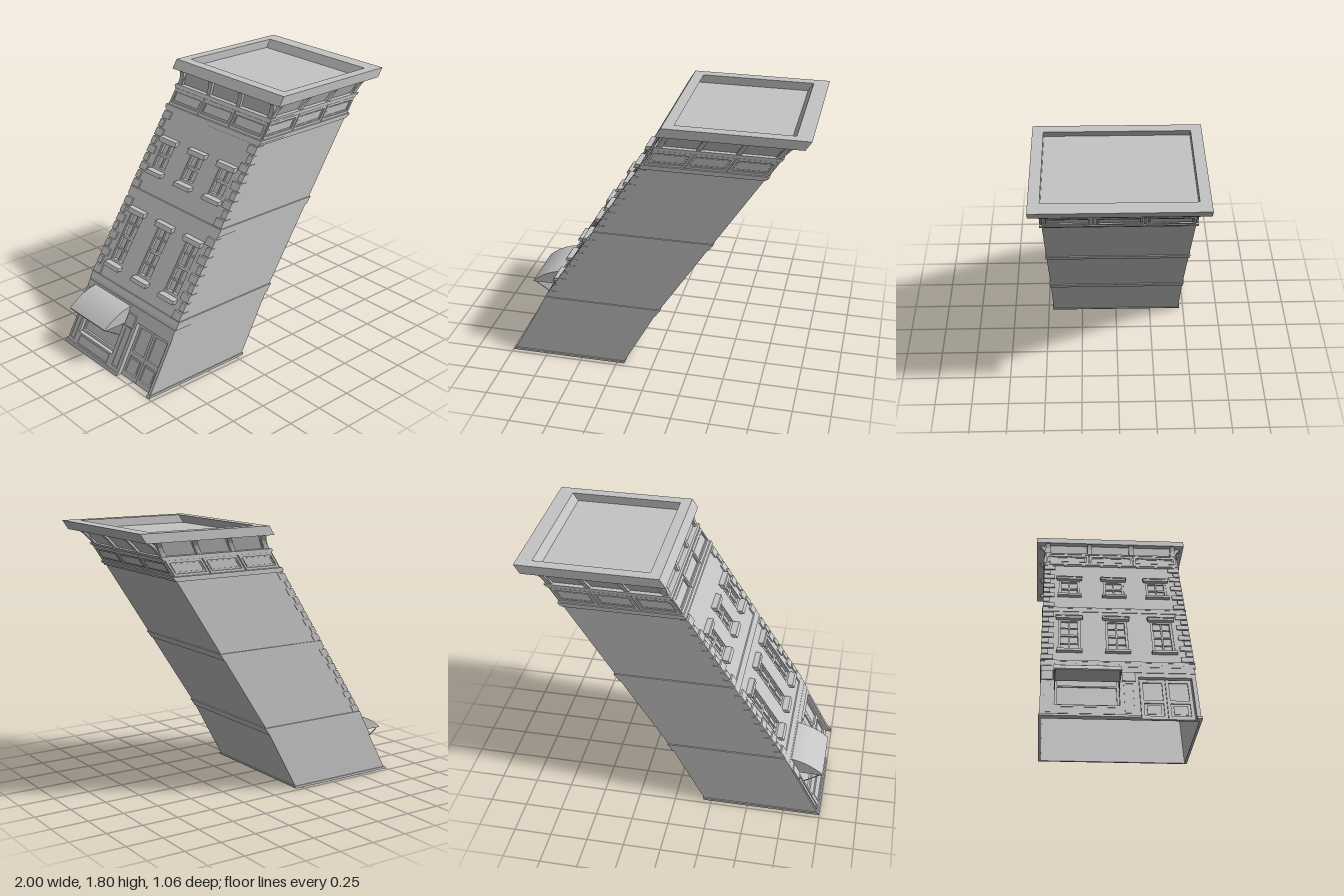
import * as THREE from 'three';
import { mergeGeometries } from 'three/addons/utils/BufferGeometryUtils.js';

// Upright body dimensions; everything is sheared along +x afterwards
const CX = -0.5975, HX = 0.3925, HZ = 0.465, FRONT = 3;
const lean = (y) => (y < 0.43 ? 0.547 * y : 0.235 + 0.65 * (y - 0.43));

export function createModel() {
  const model = new THREE.Group();
  const stone = new THREE.MeshStandardMaterial({ color: 0xc4c4c4, side: THREE.DoubleSide });
  stone.name = 'grey stone';

  // Merge a part's pieces, lean them, and give them flat faces
  const add = (name, pieces) => {
    const geo = mergeGeometries(pieces.map((p) => {
      const g = p.index ? p.toNonIndexed() : p;
      g.deleteAttribute('uv');
      return g;
    }));
    const pos = geo.attributes.position;
    for (let i = 0; i < pos.count; i++) pos.setX(i, pos.getX(i) + lean(pos.getY(i)));
    geo.computeVertexNormals();
    const mesh = new THREE.Mesh(geo, stone);
    mesh.name = name;
    model.add(mesh);
  };

  const span = (x0, x1, y0, y1, z0, z1) => new THREE.BoxGeometry(x1 - x0, y1 - y0, z1 - z0)
    .translate((x0 + x1) / 2, (y0 + y1) / 2, (z0 + z1) / 2);
  // Side k: 0 = +z, 1 = +x, 2 = -z, 3 = -x. d is the distance out from the wall
  const place = (geo, k) => geo.rotateY(k * Math.PI / 2).translate(CX, 0, 0);
  const reach = (k) => (k % 2 ? HX : HZ);
  const half = (k) => (k % 2 ? HZ : HX);
  const sideBox = (k, a0, a1, y0, y1, d0, d1) =>
    place(span(a0, a1, y0, y1, reach(k) + d0, reach(k) + d1), k);
  const ring = (y0, y1, out) => span(CX - HX - out, CX + HX + out, y0, y1, -HZ - out, HZ + out);

  const outline = (points, holes = []) => {
    const s = new THREE.Shape(points.map((p) => new THREE.Vector2(...p)));
    s.holes = holes.map((h) => new THREE.Path(h.map((p) => new THREE.Vector2(...p))));
    return s;
  };
  const rect = (a0, a1, y0, y1) => [[a0, y0], [a1, y0], [a1, y1], [a0, y1]];
  // Pierced plate on side k between depths d0 and d1
  const plate = (k, points, holes, d0, d1) => place(
    new THREE.ExtrudeGeometry(outline(points, holes), { depth: d1 - d0, bevelEnabled: false })
      .translate(0, 0, reach(k) + d0), k);
  const frame = (k, a0, a1, y0, y1, w, d0, d1) =>
    plate(k, rect(a0, a1, y0, y1), [rect(a0 + w, a1 - w, y0 + w, y1 - w)], d0, d1);

  // Upper body and hollow ground floor
  add('upperBody', [span(CX - HX + 0.025, CX + HX, 0.43, 1.64, -HZ, HZ)]);
  add('groundWalls', [
    sideBox(0, -HX, HX, 0, 0.43, -0.008, 0),
    sideBox(1, -HZ, HZ, 0, 0.43, -0.008, 0),
    sideBox(2, -HX, HX, 0, 0.43, -0.008, 0),
  ]);

  // Street wall with a doorway notch and shop window
  const doorway = [0.12, 0.44, 0.33], shop = [-0.38, 0, 0.09, 0.33];
  add('groundFacade', [
    plate(FRONT, [[-HZ, 0], [doorway[0], 0], [doorway[0], doorway[2]], [doorway[1], doorway[2]],
      [doorway[1], 0], [HZ, 0], [HZ, 0.43], [-HZ, 0.43]], [rect(...shop)], -0.045, 0),
    sideBox(FRONT, -HZ, HZ, 0.365, 0.41, 0, 0.006),
  ]);
  add('shopWindow', [
    sideBox(FRONT, shop[0], shop[1], shop[2], shop[3], -0.045, -0.038),
    frame(FRONT, ...shop, 0.015, -0.038, -0.025),
    sideBox(FRONT, shop[0], shop[1], 0.25, 0.26, -0.038, -0.028),
    frame(FRONT, shop[0] + 0.02, shop[1] - 0.02, 0.02, 0.08, 0.008, 0, 0.004),
  ]);
  const pierPieces = [];
  for (const [a0, a1] of [[-0.46, -0.395], [0.02, 0.1]]) {
    pierPieces.push(sideBox(FRONT, a0, a1, 0.29, 0.365, 0, 0.012));
    pierPieces.push(frame(FRONT, a0 + 0.008, a1 - 0.008, 0.03, 0.28, 0.01, 0, 0.005));
  }
  add('shopPiers', pierPieces);

  // Double door, two panels per leaf
  const door = [sideBox(FRONT, 0.12, 0.44, 0, 0.33, -0.043, -0.038)];
  for (const [a0, a1] of [[0.125, 0.279], [0.281, 0.435]]) {
    const w = 0.02;
    door.push(plate(FRONT, rect(a0, a1, 0.003, 0.325),
      [rect(a0 + w, a1 - w, 0.03, 0.13), rect(a0 + w, a1 - w, 0.155, 0.3)], -0.052, -0.028));
    door.push(sideBox(FRONT, a0 + 0.035, a1 - 0.035, 0.045, 0.115, -0.038, -0.032));
  }
  add('doubleDoor', door);

  // Facade of the two upper floors
  const columns = [-0.295, 0.005, 0.295];
  const floors = [{ y0: 0.43, y1: 0.98, low: 0.56, high: 0.87 },
    { y0: 0.98, y1: 1.64, low: 1.14, high: 1.31 }];
  const walls = [], sashes = [], sills = [], lintels = [];
  for (const f of floors) {
    walls.push(plate(FRONT, rect(-HZ, HZ, f.y0, f.y1),
      columns.map((c) => rect(c - 0.068, c + 0.068, f.low, f.high)), -0.025, 0));
    const mid = (f.low + f.high) / 2;
    for (const c of columns) {
      sashes.push(frame(FRONT, c - 0.068, c + 0.068, f.low, f.high, 0.014, -0.025, -0.006));
      sashes.push(sideBox(FRONT, c - 0.055, c + 0.055, mid - 0.008, mid + 0.008, -0.025, -0.01));
      sashes.push(sideBox(FRONT, c - 0.005, c + 0.005, f.low, f.high, -0.025, -0.013));
      if (f.y0 < 0.5) for (const t of [0.25, 0.75]) {
        const y = f.low + t * (f.high - f.low);
        sashes.push(sideBox(FRONT, c - 0.055, c + 0.055, y - 0.004, y + 0.004, -0.025, -0.015));
      }
      sills.push(sideBox(FRONT, c - 0.08, c + 0.08, f.low - 0.022, f.low, 0, 0.036));
      lintels.push(sideBox(FRONT, c - 0.085, c + 0.085, f.high, f.high + 0.03, 0, 0.03));
      lintels.push(sideBox(FRONT, c - 0.088, c + 0.088, f.high + 0.02, f.high + 0.03, 0, 0.036));
    }
  }
  add('upperFacade', walls);
  add('windowSashes', sashes);
  add('windowSills', sills);
  add('windowLintels', lintels);

  // Corner blocks, alternately long and short
  const quoins = [];
  for (const y0 of [0.468, 1.008]) for (let i = 0; i < 9; i++) {
    const w = i % 2 ? 0.04 : 0.072, y = y0 + i * 0.0535;
    for (const s of [-1, 1]) {
      const a = [s * (HZ + 0.004), s * (HZ - w)].sort((p, q) => p - q);
      quoins.push(sideBox(FRONT, a[0], a[1], y, y + 0.043, -w * 0.6, 0.012));
    }
  }
  add('cornerBlocks', quoins);

  // Plinth, leaving the doorway open
  add('plinth', [
    sideBox(0, -HX - 0.007, HX + 0.007, 0, 0.016, 0, 0.007),
    sideBox(1, -HZ - 0.007, HZ + 0.007, 0, 0.016, 0, 0.007),
    sideBox(2, -HX - 0.007, HX + 0.007, 0, 0.016, 0, 0.007),
    sideBox(FRONT, -HZ - 0.007, 0.12, 0, 0.016, 0, 0.008),
    sideBox(FRONT, 0.44, HZ + 0.007, 0, 0.016, 0, 0.008),
  ]);
  // String courses between floors
  add('stringCourses', [ring(0.43, 0.45, 0.006), ring(0.45, 0.462, 0.008),
    ring(0.955, 0.99, 0.006), ring(0.99, 1.002, 0.008),
    ...[0, 1, 2, 3].map((k) => sideBox(k, -half(k) - 0.006, half(k) + 0.006, 0.412, 0.432, -0.003, 0.006))]);
  add('friezeLedges', [ring(1.487, 1.5, 0.008), ring(1.5, 1.518, 0.014),
    ring(1.62, 1.63, 0.006), ring(1.63, 1.645, 0.012)]);

  // Three framed panels on each side of the frieze
  const panels = [], brackets = [];
  const curve = [[0, 1.642], [0.006, 1.67], [0.016, 1.7], [0.032, 1.725], [0.042, 1.738]];
  for (let k = 0; k < 4; k++) {
    const h = half(k), step = (2 * h) / 3;
    for (let i = 0; i < 3; i++) {
      const a = -h + i * step;
      panels.push(frame(k, a + 0.004, a + step - 0.004, 1.52, 1.62, 0.016, 0, 0.008));
      panels.push(frame(k, a + 0.026, a + step - 0.026, 1.542, 1.598, 0.005, 0, 0.004));
    }
    // Curved brackets under the cornice
    for (let i = 0; i < 4; i++) {
      const w = 0.034, a = -h + (i * (2 * h - w)) / 3;
      const profile = outline([[-0.04, 1.642], ...curve, [-0.04, 1.738]]);
      const g = new THREE.ExtrudeGeometry(profile, { depth: w, bevelEnabled: false })
        .rotateY(-Math.PI / 2).translate(a + w, 0, reach(k));
      brackets.push(place(g, k));
    }
  }
  add('friezePanels', panels);
  add('corniceBrackets', brackets);

  // Flared wall behind the brackets
  const flare = ring(1.64, 1.74, 0);
  const fp = flare.attributes.position;
  for (let i = 0; i < fp.count; i++) {
    const d = fp.getY(i) > 1.7 ? 0.012 : -0.022;
    fp.setX(i, fp.getX(i) + d * Math.sign(fp.getX(i) - CX));
    fp.setZ(i, fp.getZ(i) + d * Math.sign(fp.getZ(i)));
  }
  add('flaredWall', [flare]);

  // Roof slab with a raised rim around a sunken deck
  const rim = new THREE.ExtrudeGeometry(
    outline(rect(-1.045, -0.125, -0.53, 0.53), [rect(-0.975, -0.225, -0.46, 0.46)]),
    { depth: 0.06, bevelEnabled: false }).rotateX(-Math.PI / 2).translate(0, 1.737, 0);
  add('roofRim', [rim]);
  add('roofDeck', [span(-0.98, -0.22, 1.736, 1.742, -0.465, 0.465)]);

  // Curved awning over the shop window, not leaned
  const hood = new THREE.Shape();
  hood.moveTo(-0.82, 0.29);
  hood.lineTo(-0.765, 0.4);
  hood.quadraticCurveTo(-0.89, 0.385, -0.995, 0.295);
  hood.lineTo(-0.995, 0.288);
  const awning = new THREE.Mesh(new THREE.ExtrudeGeometry(hood,
    { depth: 0.4, bevelEnabled: false, curveSegments: 12 }).translate(0, 0, -0.39), stone);
  awning.name = 'awning';
  model.add(awning);
  for (const z of [-0.38, 0]) {
    const arm = new THREE.Mesh(new THREE.TubeGeometry(new THREE.LineCurve3(
      new THREE.Vector3(-0.99, 0.29, z), new THREE.Vector3(-0.87, 0.21, z)), 1, 0.003, 6), stone);
    arm.name = 'awningArm';
    model.add(arm);
  }
  return model;
}
